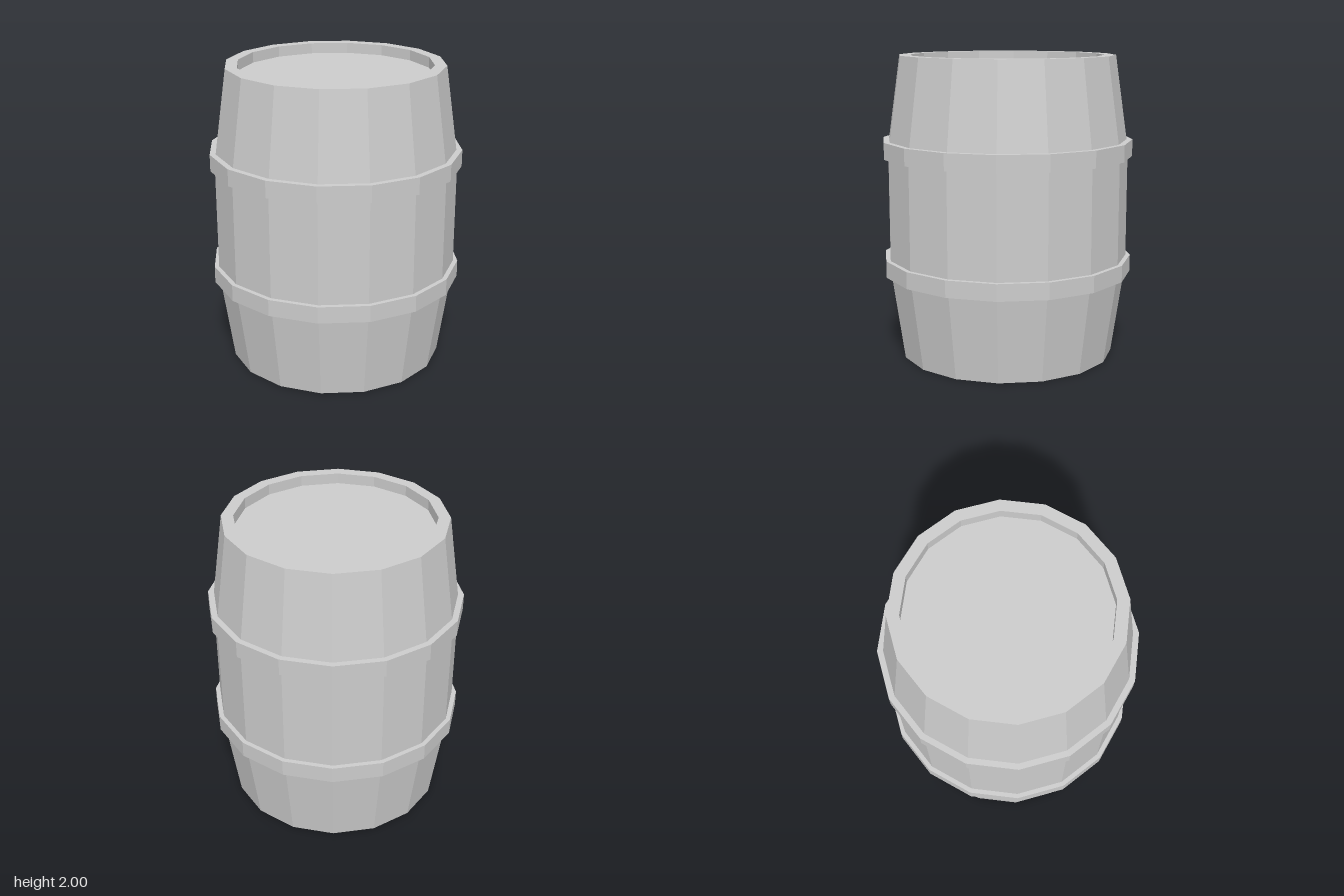
import * as THREE from 'three';

const SIDES = 16;

export function createModel() {
  const barrel = new THREE.Group();
  barrel.name = 'barrel';
  const material = new THREE.MeshStandardMaterial({ color: 0xcccccc, flatShading: true });

  // Revolves [radius, height] points, listed upward along the outside
  const addTurned = (name, profile) => {
    const points = profile.map(([r, y]) => new THREE.Vector2(r, y));
    const geometry = new THREE.LatheGeometry(points, SIDES).toNonIndexed();
    geometry.computeVertexNormals();
    const mesh = new THREE.Mesh(geometry, material);
    mesh.name = name;
    barrel.add(mesh);
  };

  const inner = 0.635, rim = 0.712, belly = 0.8, recess = 0.07;

  // Staves with a flat rim and a short inner wall at each end
  addTurned('staves', [
    [inner, recess], [inner, 0], [rim, 0],
    [belly, 0.61], [belly, 1.39],
    [rim, 2], [inner, 2], [inner, 2 - recess],
  ]);

  // Recessed end discs
  addTurned('bottomHead', [[0, recess], [inner, recess]]);
  addTurned('topHead', [[inner, 2 - recess], [0, 2 - recess]]);

  // Hoops around the belly
  for (const [name, y] of [['lowerHoop', 0.56], ['upperHoop', 1.34]]) {
    addTurned(name, [[0.77, y], [0.83, y], [0.83, y + 0.11], [0.77, y + 0.11]]);
  }

  return barrel;
}
